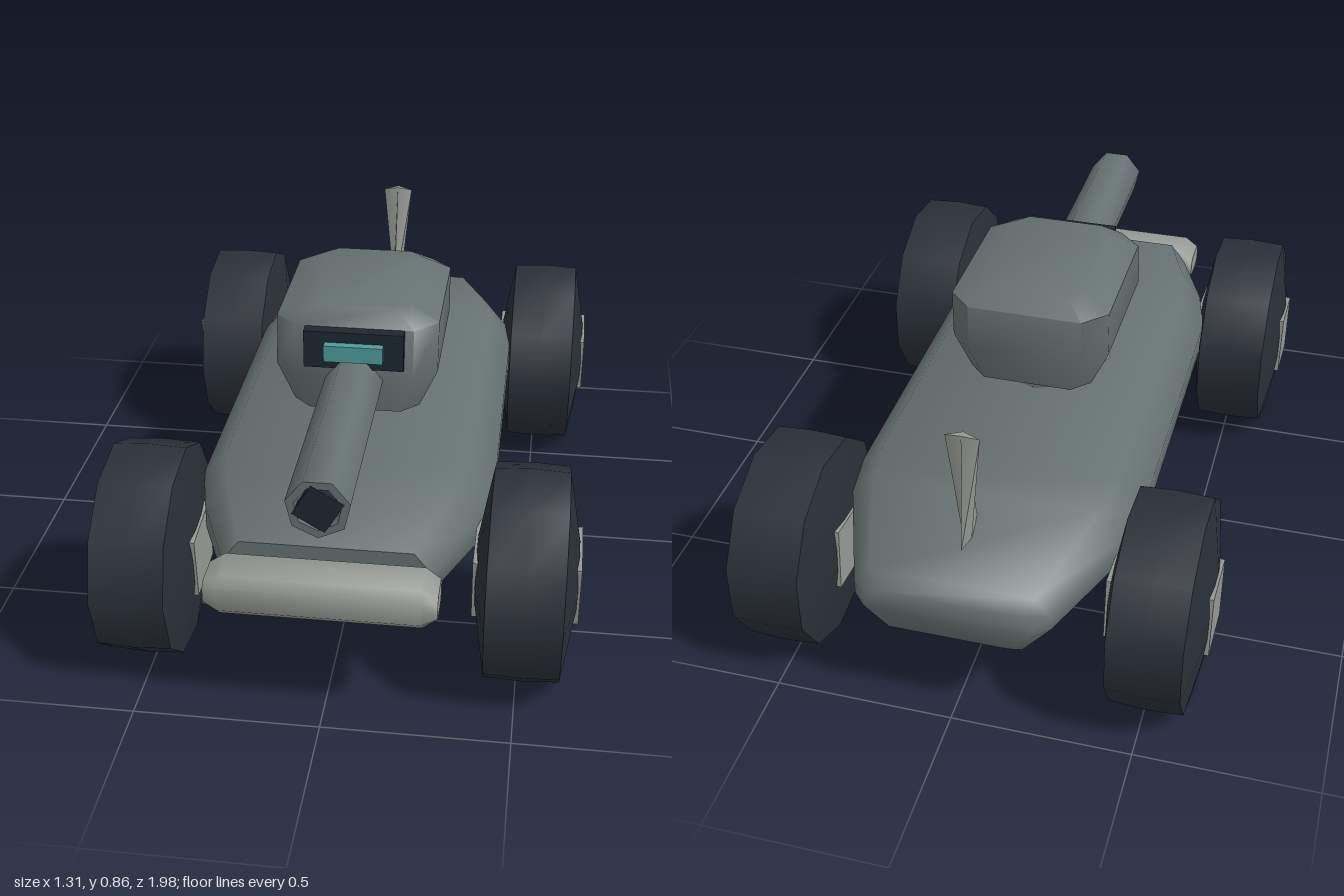
import * as THREE from 'three';
import { toCreasedNormals } from 'three/addons/utils/BufferGeometryUtils.js';

const mat = (color, side = THREE.FrontSide) => new THREE.MeshStandardMaterial({ color, side, roughness: 0.9 });

// Skin a closed solid over rings of [x, y, z], each counter-clockwise about the loft axis.
function loft(rings, crease) {
  const pos = [];
  const tri = (...pts) => pts.forEach((p) => pos.push(...p));
  const n = rings[0].length;
  for (let i = 0; i < rings.length - 1; i++) {
    for (let j = 0; j < n; j++) {
      const k = (j + 1) % n;
      const a = rings[i][j], b = rings[i][k], c = rings[i + 1][k], d = rings[i + 1][j];
      tri(a, b, c);
      tri(a, c, d);
    }
  }
  const first = rings[0], last = rings[rings.length - 1];
  for (let j = 1; j < n - 1; j++) {
    tri(first[0], first[j + 1], first[j]);
    tri(last[0], last[j], last[j + 1]);
  }
  const g = new THREE.BufferGeometry();
  g.setAttribute('position', new THREE.Float32BufferAttribute(pos, 3));
  return toCreasedNormals(g, crease);
}

// Rectangle with cut corners, as counter-clockwise [u, v] pairs.
function cutRect(u0, u1, v0, v1, c) {
  return [[u1, v0 + c], [u1, v1 - c], [u1 - c, v1], [u0 + c, v1],
    [u0, v1 - c], [u0, v0 + c], [u0 + c, v0], [u1 - c, v0]];
}

export function createModel() {
  const model = new THREE.Group();
  const paint = mat(0x667171);
  const metal = mat(0x959892);
  const rubber = mat(0x2a3038);
  const dark = mat(0x1b2731);
  const glass = mat(0x4c9c9a);

  const add = (name, geometry, material, parent = model) => {
    const mesh = new THREE.Mesh(geometry, material);
    mesh.name = name;
    parent.add(mesh);
    return mesh;
  };

  // Hull: one cross-section scaled along z, tapering at both ends
  const section = [[0.41, 0.35], [0.41, 0.42], [0.34, 0.5], [-0.34, 0.5],
    [-0.41, 0.42], [-0.41, 0.35], [-0.29, 0.2], [0.29, 0.2]];
  const stations = [[-0.99, 0.56, 0.4], [-0.95, 0.65, 0.62], [-0.63, 0.95, 1],
    [-0.5, 1, 1], [0.45, 1, 1], [0.62, 0.9, 1], [0.85, 0.67, 0.76]];
  add('hull', loft(stations.map(([z, sx, sy]) =>
    section.map(([x, y]) => [x * sx, 0.36 + (y - 0.36) * sy, z])), 1.0), paint);

  // Front bumper bar with drawn-in ends
  const bar = [[-0.3, 0.6], [-0.26, 1], [0.26, 1], [0.3, 0.6]];
  add('bumper', loft(bar.map(([x, s]) =>
    cutRect(-0.058, 0.058, -0.075, 0.075, 0.025).map(([y, z]) => [x, 0.38 + y * s, 0.915 + z * (0.5 + s / 2)])), 0.9), metal);

  // Turret ring
  const neckProfile = [[0, 0.49], [0.15, 0.49], [0.195, 0.54], [0.18, 0.59], [0, 0.59]];
  const neck = new THREE.LatheGeometry(neckProfile.map(([r, y]) => new THREE.Vector2(r, y)), 8);
  add('turretRing', toCreasedNormals(neck, 0.9), metal).position.z = 0.025;

  // Turret: cut-cornered plan lofted upwards
  const tiers = [[0.57, 0.18, -0.21, 0.295, 0.05], [0.68, 0.23, -0.235, 0.31, 0.065],
    [0.82, 0.23, -0.235, 0.285, 0.065], [0.862, 0.15, -0.18, 0.24, 0.04]];
  add('turret', loft(tiers.map(([y, w, z0, z1, c]) =>
    cutRect(z0, z1, -w, w, c).map(([z, x]) => [x, y, z])), 1.0), paint);

  // Vision slit
  add('visorFrame', new THREE.BoxGeometry(0.28, 0.11, 0.06), dark).position.set(0, 0.765, 0.29);
  add('visorGlass', new THREE.BoxGeometry(0.165, 0.048, 0.03), glass).position.set(0.002, 0.765, 0.33);

  // Gun barrel, with a hollow muzzle and a dark plug set inside
  const barrelProfile = [[0, 0.25], [0.084, 0.25], [0.084, 0.965], [0.062, 0.965], [0.058, 0.93]];
  const barrel = new THREE.LatheGeometry(barrelProfile.map(([r, z]) => new THREE.Vector2(r, z)), 7);
  barrel.rotateX(Math.PI / 2);
  add('barrel', toCreasedNormals(barrel, 1.0), paint).position.y = 0.655;
  const bore = new THREE.CylinderGeometry(0.068, 0.068, 0.03, 4).rotateX(Math.PI / 2).rotateZ(0.25);
  add('bore', toCreasedNormals(bore, 0.5), dark).position.set(0, 0.655, 0.952);

  // Aerial: a thin blade, lengthwise at the foot and crosswise at the tip
  add('aerial', loft([
    [[0, 0.48, -0.71], [0.012, 0.48, -0.8], [0, 0.48, -0.855], [-0.012, 0.48, -0.8]],
    [[0, 0.83, -0.802], [0.046, 0.82, -0.812], [0, 0.83, -0.822], [-0.046, 0.82, -0.812]],
  ], 0.6), metal);

  // Wheels: eleven-sided tyres with four-sided hubs showing on both faces
  const tyreProfile = [[0, -0.135], [0.1, -0.135], [0.295, -0.1], [0.3, 0], [0.295, 0.1], [0.1, 0.135], [0, 0.135]];
  const tyre = toCreasedNormals(
    new THREE.LatheGeometry(tyreProfile.map(([r, x]) => new THREE.Vector2(r, x)), 11).rotateZ(-Math.PI / 2), 1.1);
  const hub = toCreasedNormals(
    new THREE.CylinderGeometry(0.13, 0.13, 0.285, 4).rotateZ(-Math.PI / 2).rotateX(Math.PI / 4 + 0.1), 0.5);
  for (const [end, z] of [['front', 0.65], ['rear', -0.705]]) {
    for (const [hand, side] of [['Left', 1], ['Right', -1]]) {
      const wheel = new THREE.Group();
      wheel.name = `${end}${hand}Wheel`;
      wheel.position.set(side * 0.515, 0.3, z);
      add('tyre', tyre, rubber, wheel);
      add('hub', hub, metal, wheel);
      model.add(wheel);
    }
  }

  return model;
}
